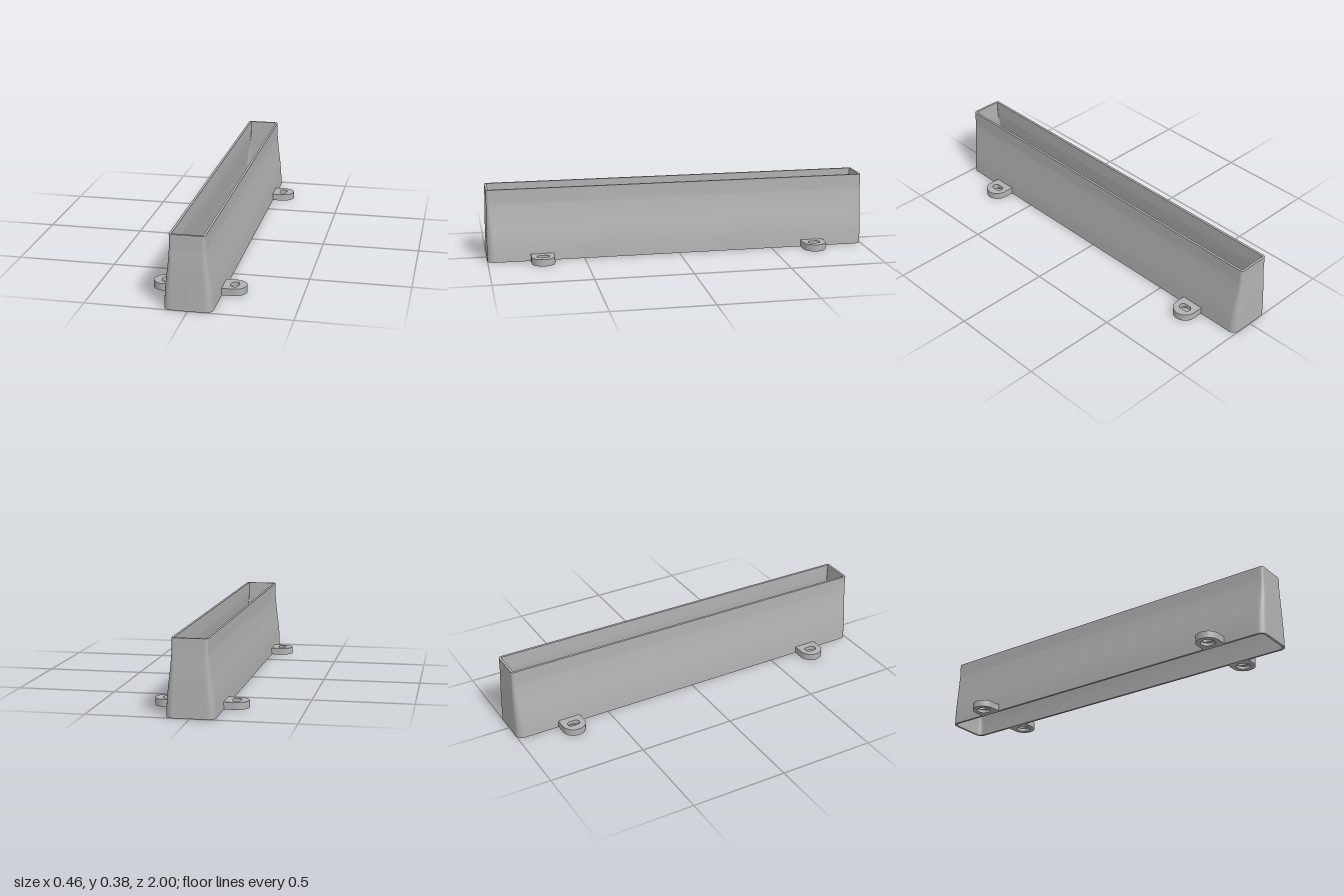
import * as THREE from 'three';

const grey = new THREE.MeshStandardMaterial({ color: 0xb2b2b2 });
grey.name = 'grey plastic';

const WALL = 0.012;
// Outer cross-sections from bottom to top: height, half width, half length, corner radius
const LEVELS = [
  [0, 0.117, 1, 0.036], [0.04, 0.1155, 1, 0.035], [0.08, 0.113, 1, 0.033],
  [0.12, 0.109, 1, 0.031], [0.16, 0.104, 1, 0.028], [0.2, 0.098, 1, 0.025],
  [0.24, 0.093, 0.999, 0.021], [0.27, 0.09, 0.998, 0.018], [0.29, 0.088, 0.997, 0.015],
  [0.305, 0.0865, 0.997, 0.015], [0.375, 0.0865, 0.997, 0.015],
];

// Rounded rectangle ring at one height, inset by the wall thickness if wanted
function ring([y, w, l, r], inset = 0) {
  const pts = [], n = 8;
  const hw = w - inset, hl = l - inset, rad = Math.max(r - inset, 0.003);
  [[1, 1], [-1, 1], [-1, -1], [1, -1]].forEach(([sx, sz], q) => {
    for (let i = 0; i <= n; i++) {
      const a = (q + i / n) * Math.PI / 2;
      pts.push([sx * (hw - rad) + rad * Math.cos(a), y, sz * (hl - rad) + rad * Math.sin(a)]);
    }
  });
  return pts;
}

// Skin over a list of rings
function loft(rings) {
  const n = rings[0].length, index = [];
  for (let j = 0; j < rings.length - 1; j++) {
    for (let i = 0; i < n; i++) {
      const a = j * n + i, b = j * n + (i + 1) % n;
      index.push(a, a + n, b, b, a + n, b + n);
    }
  }
  const g = new THREE.BufferGeometry();
  g.setAttribute('position', new THREE.Float32BufferAttribute(rings.flat(2), 3));
  g.setIndex(index);
  g.computeVertexNormals();
  return g;
}

function mesh(name, geometry) {
  const m = new THREE.Mesh(geometry, grey);
  m.name = name;
  return m;
}

// One layer of a mounting tab: straight root, round end, given hole
function tabLayer(hole, y0, y1) {
  const s = new THREE.Shape();
  s.moveTo(0.108, -0.06);
  s.lineTo(0.17, -0.06);
  s.absarc(0.17, 0, 0.06, -Math.PI / 2, Math.PI / 2, false);
  s.lineTo(0.108, 0.06);
  s.closePath();
  s.holes.push(hole);
  const g = new THREE.ExtrudeGeometry(s, { depth: y1 - y0, bevelEnabled: false, curveSegments: 20 });
  return g.rotateX(-Math.PI / 2).translate(0, y0, 0);
}

function slotHole() {
  const p = new THREE.Path();
  p.absarc(0.17, 0.012, 0.02, 0, Math.PI, false);
  p.absarc(0.17, -0.012, 0.02, Math.PI, Math.PI * 2, false);
  p.closePath();
  return p;
}

function roundHole(r) {
  const p = new THREE.Path();
  p.absarc(0.17, 0, r, 0, Math.PI * 2, false);
  return p;
}

export function createModel() {
  const model = new THREE.Group();
  model.name = 'ductAdapter';

  // Hollow open body
  const outer = LEVELS.map((l) => ring(l));
  const inner = LEVELS.map((l) => ring(l, WALL));
  const top = LEVELS.length - 1;
  const body = new THREE.Group();
  body.name = 'body';
  body.add(
    mesh('outerWall', loft(outer)),
    mesh('innerWall', loft([...inner].reverse())),
    mesh('topRim', loft([outer[top], inner[top]])),
    mesh('bottomRim', loft([inner[0], outer[0]])),
  );
  model.add(body);

  // Four mounting tabs with a slot and a wider recess underneath
  const upper = tabLayer(slotHole(), 0.016, 0.036);
  const lower = tabLayer(roundHole(0.036), 0, 0.016);
  for (const side of [0, Math.PI]) {
    for (const z of [-0.72, 0.72]) {
      const tab = new THREE.Group();
      tab.name = 'mountingTab';
      tab.add(mesh('tabTop', upper), mesh('tabBase', lower));
      tab.rotation.y = side;
      tab.position.z = z;
      model.add(tab);
    }
  }
  return model;
}
